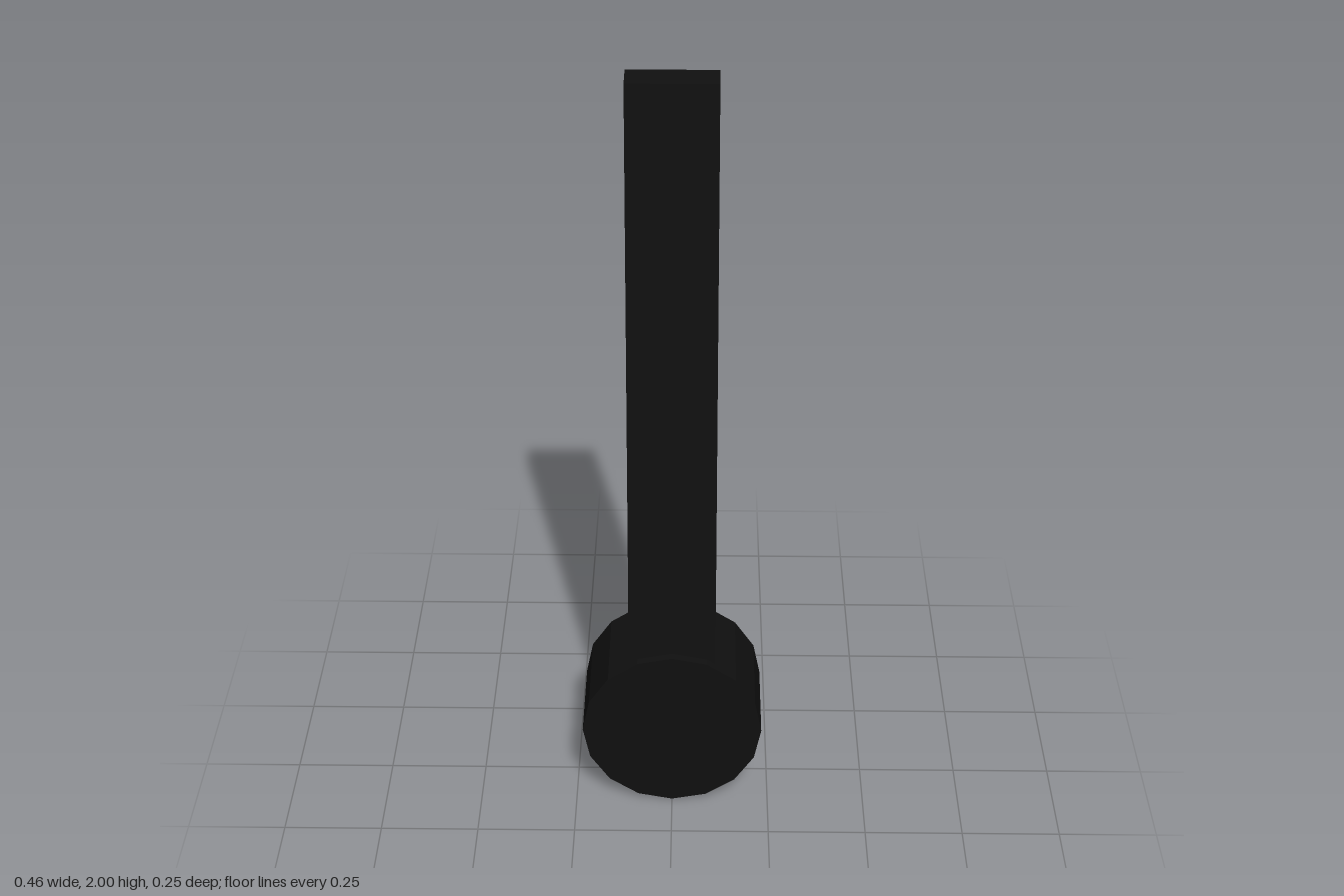
import * as THREE from 'three';

export function createModel() {
  const group = new THREE.Group();
  const material = new THREE.MeshStandardMaterial({ color: 0x101010, flatShading: true, side: THREE.DoubleSide });
  const add = (name, geometry) => {
    const mesh = new THREE.Mesh(geometry, material);
    mesh.name = name;
    group.add(mesh);
    return mesh;
  };

  const radius = 0.23, depth = 0.248, sides = 16;

  // Round cup: thin wall, open at the back
  const wall = new THREE.CylinderGeometry(radius, radius, depth, sides, 1, true);
  wall.rotateX(Math.PI / 2);
  add('cupWall', wall).position.y = radius;

  // Disc closing the front of the cup
  add('cupFront', new THREE.CircleGeometry(radius, sides)).position.set(0, radius, depth / 2);

  // Upright bar: slightly wider and thinner towards its foot
  const foot = 0.425, top = 2;
  const bar = new THREE.BoxGeometry(1, 1, 1);
  const p = bar.attributes.position;
  for (let i = 0; i < p.count; i++) {
    const isTop = p.getY(i) > 0;
    const x = Math.sign(p.getX(i)) * (isTop ? 0.105 : 0.11);
    const z = p.getZ(i) > 0 ? 0.103 : (isTop ? 0.023 : 0.037);
    p.setXYZ(i, x, isTop ? top : foot, z);
  }
  bar.computeVertexNormals();
  add('bar', bar);

  return group;
}
